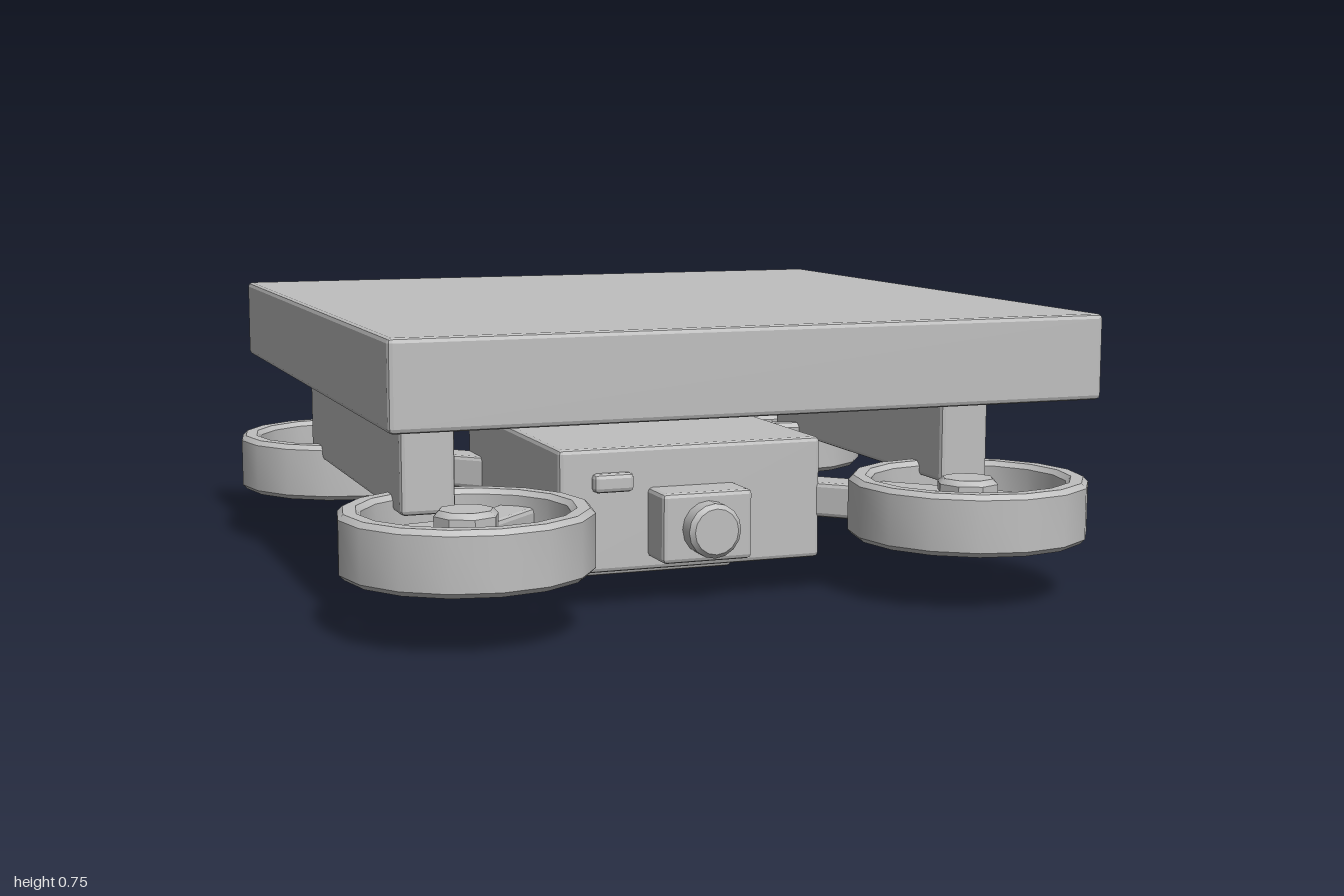
import * as THREE from 'three';
import { toCreasedNormals } from 'three/addons/utils/BufferGeometryUtils.js';
import { RoundedBoxGeometry } from 'three/addons/geometries/RoundedBoxGeometry.js';

export function createModel() {
  const model = new THREE.Group();
  model.name = 'cargoDrone';
  const grey = new THREE.MeshStandardMaterial({ color: 0xbfbfbf, flatShading: true });
  grey.name = 'grey';
  const smoothGrey = grey.clone();
  smoothGrey.flatShading = false;

  // Box with chamfered edges, given by its minimum and maximum corners
  function box(name, min, max, parent = model, bevel = 0.012) {
    const size = max.map((v, i) => v - min[i]);
    const mesh = new THREE.Mesh(new RoundedBoxGeometry(...size, 1, bevel), grey);
    mesh.position.set(...max.map((v, i) => (v + min[i]) / 2));
    mesh.name = name;
    parent.add(mesh);
    return mesh;
  }

  // Turned part; the profile runs upward on its outer side
  function turned(name, profile, sides, parent = model) {
    const points = profile.map(([r, y]) => new THREE.Vector2(r, y));
    const geometry = toCreasedNormals(new THREE.LatheGeometry(points, sides), 0.6);
    const mesh = new THREE.Mesh(geometry, smoothGrey);
    mesh.name = name;
    parent.add(mesh);
    return mesh;
  }

  // Solid cylinder with chamfered rims
  function drum(name, r, y0, y1, sides, c, parent) {
    return turned(name, [[0, y0], [r - c, y0], [r, y0 + c], [r, y1 - c], [r - c, y1], [0, y1]], sides, parent);
  }

  // Cargo slab and its two side rails
  box('cargoSlab', [-0.93, 0.53, -0.93], [0.93, 0.75, 0.93]);
  for (const s of [-1, 1]) {
    const rail = box('sideRail', [-0.07, 0.27, -0.555], [0.07, 0.54, 0.555]);
    rail.position.x = s * 0.745;
  }

  // Central body with belly plate
  box('body', [-0.37, 0.065, -0.44], [0.37, 0.395, 0.44]);
  box('bellyPlate', [-0.22, 0, -0.33], [0.22, 0.08, 0.185]);

  // Front camera and indicator
  box('cameraHousing', [-0.125, 0.1, 0.42], [0.125, 0.285, 0.555]);
  const lens = drum('cameraLens', 0.072, -0.04, 0.07, 16, 0.012, model);
  lens.rotation.x = Math.PI / 2;
  lens.position.set(0, 0.19, 0.545);
  box('indicator', [-0.28, 0.28, 0.42], [-0.17, 0.33, 0.465]);

  // Four rotors, each with an arm reaching back to the body
  for (const sx of [-1, 1]) {
    for (const sz of [-1, 1]) {
      const rotor = new THREE.Group();
      rotor.name = 'rotor';
      rotor.position.set(sx * 0.685, 0, sz * 0.685);
      model.add(rotor);

      turned('guardRing', [
        [0.27, 0.15], [0.302, 0.15], [0.315, 0.163], [0.315, 0.297], [0.302, 0.31],
        [0.27, 0.31], [0.257, 0.297], [0.257, 0.163], [0.27, 0.15],
      ], 16, rotor);
      drum('rotorDisc', 0.24, 0.215, 0.235, 16, 0.004, rotor);
      drum('motorHub', 0.082, 0.135, 0.305, 8, 0.014, rotor);

      const arm = new THREE.Group();
      arm.name = 'armMount';
      arm.rotation.y = Math.atan2(-sx, -sz);
      rotor.add(arm);
      box('arm', [-0.055, 0.175, 0], [0.055, 0.27, 0.6], arm);
    }
  }
  return model;
}
